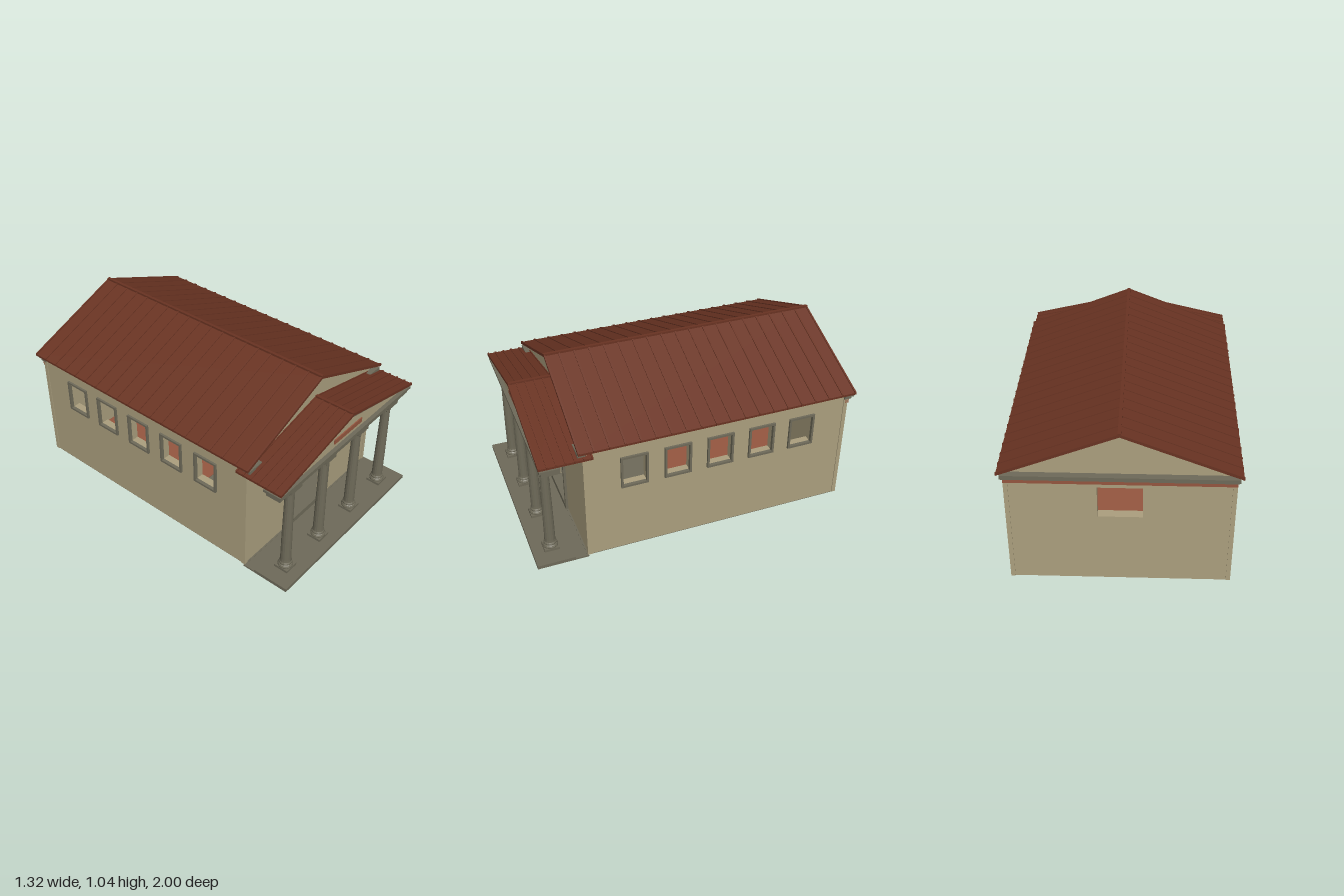
import * as THREE from 'three';

export function createModel() {
  const root = new THREE.Group();
  const mat = (name, color, double) => {
    const m = new THREE.MeshStandardMaterial({ color });
    m.name = name;
    if (double) m.side = THREE.DoubleSide;
    return m;
  };
  const plaster = mat('plaster', 0xab9f7e);
  const stone = mat('stone', 0x6e6a59);
  const tile = mat('roofTile', 0x693322);
  const terracotta = mat('terracotta', 0x95563f);

  const add = (name, geo, m, parent = root) => {
    const mesh = new THREE.Mesh(geo, m);
    mesh.name = name;
    parent.add(mesh);
    return mesh;
  };
  // Box given by its extents
  const box = (name, m, x0, x1, y0, y1, z0, z1, parent) => {
    const g = new THREE.BoxGeometry(x1 - x0, y1 - y0, z1 - z0);
    g.translate((x0 + x1) / 2, (y0 + y1) / 2, (z0 + z1) / 2);
    return add(name, g, m, parent);
  };
  const poly = (pts) => new THREE.Shape(pts.map(([x, y]) => new THREE.Vector2(x, y)));
  const rectHole = (x0, x1, y0, y1) => new THREE.Path(
    [[x0, y0], [x0, y1], [x1, y1], [x1, y0]].map(([x, y]) => new THREE.Vector2(x, y)));
  const extrudeZ = (shape, z0, z1) => {
    const g = new THREE.ExtrudeGeometry(shape, { depth: z1 - z0, bevelEnabled: false });
    g.translate(0, 0, z0);
    return g;
  };
  // Bent strip following a gable, from eave to ridge to eave
  const chevron = (w, eave, ridge, t) => poly([
    [-w, eave], [0, ridge], [w, eave], [w, eave + t], [0, ridge + t], [-w, eave + t]]);

  // Floor, with a terracotta rear half, and the porch platform
  box('floor', stone, -0.62, 0.62, 0, 0.012, -0.945, 0.7);
  box('rearFloor', terracotta, -0.57, 0.57, 0.012, 0.016, -0.9, 0.04);
  box('porchPlatform', stone, -0.635, 0.635, 0, 0.01, 0.69, 1);
  box('porchStep', stone, -0.635, 0.635, 0.01, 0.022, 0.77, 1);

  // Side walls with five windows each
  const windows = [0.395, 0.13, -0.135, -0.4, -0.662];
  const winY0 = 0.46, winY1 = 0.655, winHalf = 0.075;
  for (const s of [-1, 1]) {
    const wall = poly([[-0.94, 0.008], [0.68, 0.008], [0.68, 0.755], [-0.94, 0.755]]);
    for (const z of windows) wall.holes.push(rectHole(z - winHalf, z + winHalf, winY0, winY1));
    const g = new THREE.ExtrudeGeometry(wall, { depth: 0.055, bevelEnabled: false });
    g.rotateY(-Math.PI / 2);
    g.translate(s > 0 ? 0.625 : -0.57, 0, 0);
    add('sideWall', g, plaster);
    for (const z of windows) {
      const frame = poly([[z - 0.083, winY0 - 0.008], [z + 0.083, winY0 - 0.008],
        [z + 0.083, winY1 + 0.008], [z - 0.083, winY1 + 0.008]]);
      frame.holes.push(rectHole(z - 0.07, z + 0.07, winY0 + 0.005, winY1 - 0.005));
      const fg = new THREE.ExtrudeGeometry(frame, { depth: 0.02, bevelEnabled: false });
      fg.rotateY(-Math.PI / 2);
      fg.translate(s > 0 ? 0.638 : -0.618, 0, 0);
      add('windowFrame', fg, stone);
    }
    // Corner strips
    for (const [z0, z1] of [[0.665, 0.695], [-0.965, -0.94]]) {
      box('cornerStrip', plaster, s > 0 ? 0.605 : -0.63, s > 0 ? 0.63 : -0.605, 0.008, 0.755, z0, z1);
    }
  }

  // Gabled end walls: doorway in front, window behind
  const frontWall = poly([[-0.62, 0.008], [-0.175, 0.008], [-0.175, 0.445], [0.175, 0.445],
    [0.175, 0.008], [0.62, 0.008], [0.62, 0.755], [0, 1.015], [-0.62, 0.755]]);
  add('frontWall', extrudeZ(frontWall, 0.635, 0.69), plaster);
  const backWall = poly([[-0.62, 0.008], [0.62, 0.008], [0.62, 0.755], [0, 1.015], [-0.62, 0.755]]);
  backWall.holes.push(rectHole(-0.125, 0.125, 0.46, 0.66));
  add('backWall', extrudeZ(backWall, -0.96, -0.905), plaster);

  // Door surround
  for (const s of [-1, 1]) box('doorJamb', stone, s * 0.18 - 0.01, s * 0.18 + 0.01, 0.01, 0.46, 0.64, 0.706);
  box('doorLintel', stone, -0.19, 0.19, 0.447, 0.46, 0.64, 0.706);
  box('doorSill', stone, -0.19, 0.19, 0.01, 0.045, 0.67, 0.706);

  // Cornices and terracotta bands across both ends
  box('backBand', terracotta, -0.63, 0.63, 0.69, 0.72, -0.972, -0.95);
  box('backCorniceLower', stone, -0.635, 0.635, 0.72, 0.738, -0.985, -0.94);
  box('backCornice', stone, -0.64, 0.64, 0.735, 0.757, -1, -0.94);
  box('frontBand', terracotta, -0.63, 0.63, 0.69, 0.72, 0.68, 0.7);
  box('frontCorniceLower', stone, -0.635, 0.635, 0.72, 0.738, 0.68, 0.712);
  box('frontCornice', stone, -0.64, 0.64, 0.735, 0.757, 0.68, 0.725);

  // Roofs: bent slab, raised seams and a ridge cap
  const roof = (name, eave, ridge, z0, z1, seams) => {
    const g = new THREE.Group();
    g.name = name;
    root.add(g);
    add('roofSlab', extrudeZ(chevron(0.657, eave, ridge, 0.013), z0, z1), tile, g);
    const step = (z1 - z0) / seams;
    for (let i = 0; i <= seams; i++) {
      const z = Math.min(Math.max(z0 + i * step, z0 + 0.005), z1 - 0.005);
      add('roofSeam', extrudeZ(chevron(0.659, eave + 0.002, ridge + 0.002, 0.016), z - 0.005, z + 0.005), tile, g);
    }
    box('ridgeCap', tile, -0.009, 0.009, ridge, ridge + 0.022, z0, z1, g);
  };
  roof('mainRoof', 0.757, 1.018, -1, 0.725, 19);
  roof('porchRoof', 0.715, 0.868, 0.64, 0.95, 6);

  // Porch entablature and pediment
  box('architrave', stone, -0.643, 0.643, 0.66, 0.692, 0.838, 0.932);
  box('porchCornice', stone, -0.657, 0.657, 0.69, 0.706, 0.83, 0.945);
  add('pediment', extrudeZ(poly([[-0.62, 0.706], [0.62, 0.706], [0, 0.855]]), 0.86, 0.92), plaster);
  add('rakingCornice', extrudeZ(chevron(0.645, 0.703, 0.848, 0.018), 0.855, 0.937), stone);
  box('signPlate', terracotta, -0.136, 0.136, 0.735, 0.765, 0.92, 0.927);

  // Columns
  const shaft = new THREE.LatheGeometry([
    [0.001, 0.036], [0.045, 0.036], [0.046, 0.045], [0.042, 0.054], [0.038, 0.058], [0.039, 0.066],
    [0.034, 0.075], [0.033, 0.09], [0.032, 0.25], [0.027, 0.59], [0.027, 0.6], [0.031, 0.604],
    [0.031, 0.612], [0.034, 0.618], [0.037, 0.637], [0.001, 0.637],
  ].map(([r, y]) => new THREE.Vector2(r, y)), 16).toNonIndexed();
  shaft.computeVertexNormals();
  for (const x of [-0.49, -0.165, 0.165, 0.49]) {
    const column = new THREE.Group();
    column.name = 'column';
    column.position.set(x, 0, 0.885);
    root.add(column);
    box('plinth', stone, -0.046, 0.046, 0.02, 0.038, -0.046, 0.046, column);
    add('shaft', shaft, stone, column);
    box('abacusLower', stone, -0.043, 0.043, 0.633, 0.642, -0.043, 0.043, column);
    box('abacus', stone, -0.05, 0.05, 0.64, 0.662, -0.047, 0.047, column);
  }
  return root;
}
